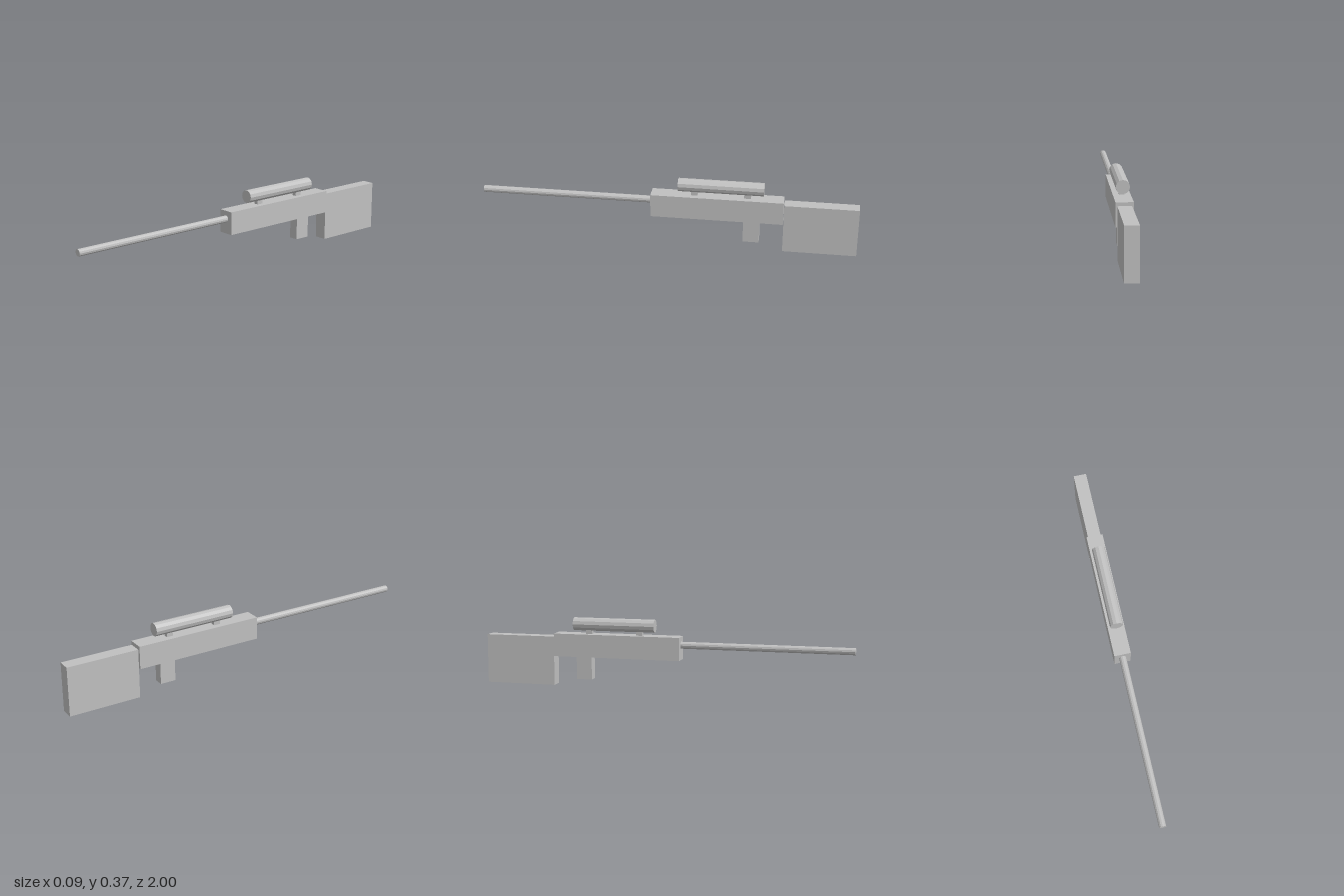
import * as THREE from 'three';

export function createModel() {
  const model = new THREE.Group();
  const grey = new THREE.MeshStandardMaterial({ color: 0xc0c0c0 });
  grey.name = 'grey';
  grey.flatShading = true;

  const add = (name, geometry, y, z) => {
    const mesh = new THREE.Mesh(geometry, grey);
    mesh.name = name;
    mesh.position.set(0, y, z);
    model.add(mesh);
  };

  // Box centred on x, given its width and its y and z ranges
  const block = (name, width, y0, y1, z0, z1) =>
    add(name, new THREE.BoxGeometry(width, y1 - y0, z1 - z0), (y0 + y1) / 2, (z0 + z1) / 2);

  // Twelve-sided cylinder lying along z
  const tube = (name, radius, y, z0, z1) =>
    add(name, new THREE.CylinderGeometry(radius, radius, z1 - z0, 12).rotateX(Math.PI / 2), y, (z0 + z1) / 2);

  // Main parts
  block('receiver', 0.088, 0.16, 0.283, -0.61, 0.088);
  block('stock', 0.07, 0, 0.265, -1, -0.613);
  block('grip', 0.052, 0.037, 0.16, -0.487, -0.402);
  tube('barrel', 0.0185, 0.239, 0.088, 1);

  // Sight tube on two mounts
  tube('scope', 0.035, 0.335, -0.505, -0.055);
  for (const [name, z] of [['frontMount', -0.14], ['rearMount', -0.42]]) {
    block(name, 0.027, 0.283, 0.308, z - 0.0175, z + 0.0175);
  }
  return model;
}
